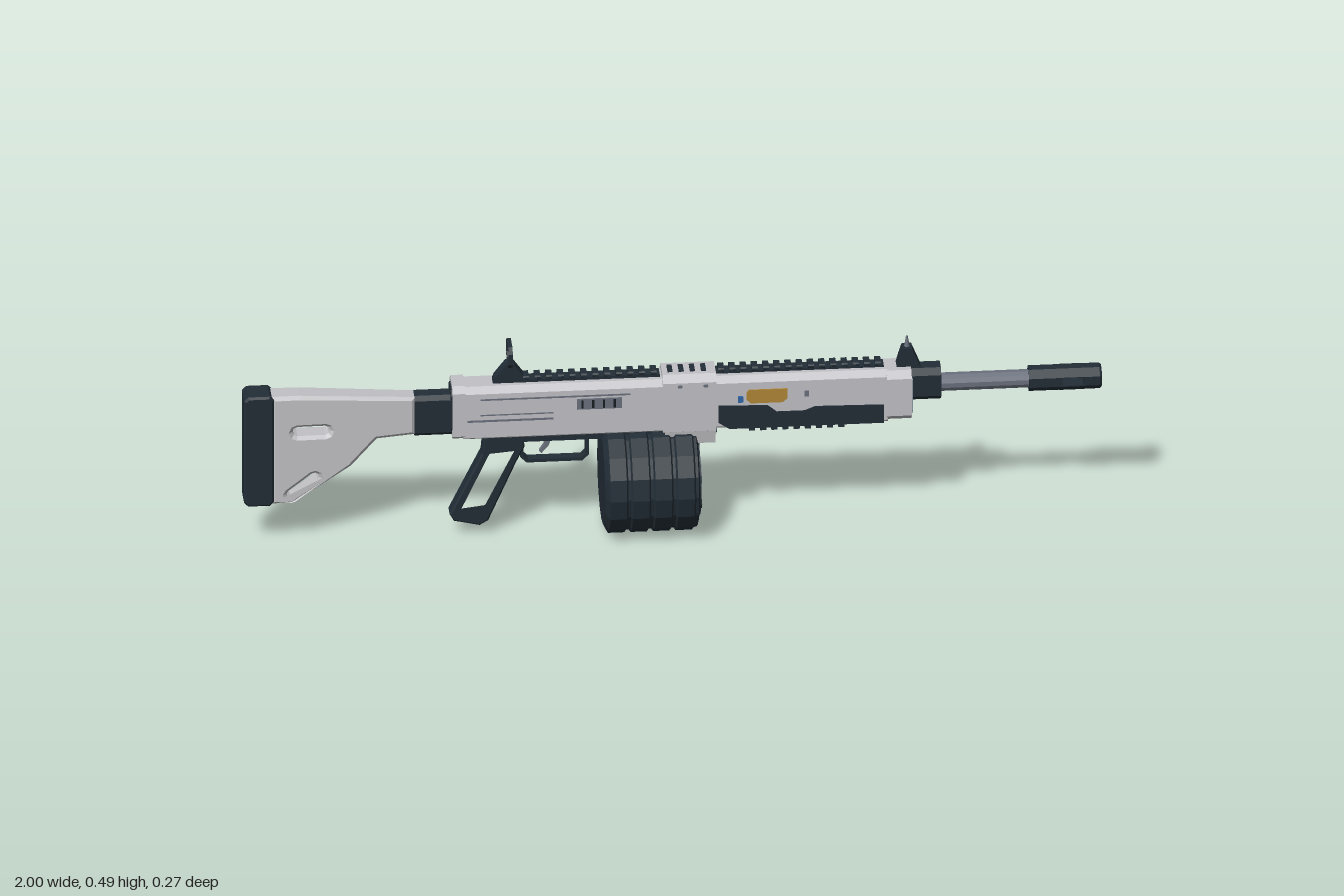
import * as THREE from 'three';

const flat = (name, color) => new THREE.MeshStandardMaterial({ name, color, flatShading: true });

export function createModel() {
  const light = flat('lightGrey', 0xc2c2c6), dark = flat('darkSlate', 0x222d36), black = flat('black', 0x151c22);
  const steel = flat('steel', 0x6a707c), gold = flat('gold', 0xb08637), blue = flat('blue', 0x2f66a8);
  const shade = flat('paleSteel', 0x8f9aa3);
  const root = new THREE.Group();
  const add = (name, geo, mat) => {
    const m = new THREE.Mesh(geo, mat);
    m.name = name;
    root.add(m);
    return m;
  };
  const box = (name, mat, x0, x1, y0, y1, z0, z1) =>
    add(name, new THREE.BoxGeometry(x1 - x0, y1 - y0, z1 - z0)
      .translate((x0 + x1) / 2, (y0 + y1) / 2, (z0 + z1) / 2), mat);
  const poly = (pts) => new THREE.Shape(pts.map(([a, b]) => new THREE.Vector2(a, b)));
  // Side profile (x, y) extruded across z
  const plate = (name, mat, pts, z0, z1, holes = [], bevel = 0) => {
    const s = poly(pts);
    s.holes = holes.map(poly);
    const geo = new THREE.ExtrudeGeometry(s, {
      depth: z1 - z0 - 2 * bevel, bevelEnabled: bevel > 0, bevelSize: bevel, bevelOffset: -bevel,
      bevelThickness: bevel, bevelSegments: 1,
    }).translate(0, 0, z0 + bevel);
    return add(name, geo, mat);
  };
  // Cross-section (z, y) extruded along x
  const along = (name, mat, pts, x0, x1, holes = []) => {
    const s = poly(pts);
    s.holes = holes.map(poly);
    const geo = new THREE.ExtrudeGeometry(s, { depth: x1 - x0, bevelEnabled: false });
    return add(name, geo.rotateY(Math.PI / 2).translate(x0, 0, 0), mat);
  };
  const chamfered = (w, y0, y1, c, cb = c) => [
    [-w + cb, y0], [w - cb, y0], [w, y0 + cb], [w, y1 - c], [w - c, y1], [-w + c, y1], [-w, y1 - c], [-w, y0 + cb]];
  const bar = (name, mat, x0, x1, y0, y1, w, c, cb) => along(name, mat, chamfered(w, y0, y1, c, cb), x0, x1);
  const tube = (name, mat, x0, x1, y, r, sides, r2 = r) => add(name,
    new THREE.CylinderGeometry(r2, r, x1 - x0, sides).rotateY(Math.PI / sides).rotateZ(-Math.PI / 2)
      .translate((x0 + x1) / 2, y, 0), mat);
  // Rounded slot outline between two points
  const slot = (x0, y0, x1, y1, r) => {
    const a = Math.atan2(y1 - y0, x1 - x0), pts = [];
    for (let i = 0; i < 10; i++) {
      const t = a - Math.PI / 2 + (i % 5) * Math.PI / 4 + (i > 4 ? Math.PI : 0);
      pts.push([(i < 5 ? x1 : x0) + r * Math.cos(t), (i < 5 ? y1 : y0) + r * Math.sin(t)]);
    }
    return pts;
  };
  const sidePlate = (name, mat, pts, side, z, t = 0.004) =>
    side > 0 ? plate(name, mat, pts, z, z + t) : plate(name, mat, pts, -z - t, -z);
  const rect = (x0, x1, y0, y1) => [[x0, y0], [x1, y0], [x1, y1], [x0, y1]];

  // Stock, narrowing towards the receiver
  const stock = plate('stock', light, [[-0.935, 0.11], [-0.885, 0.11], [-0.75, 0.2], [-0.69, 0.268], [-0.6, 0.275],
    [-0.6, 0.372], [-0.87, 0.39], [-0.935, 0.39]], -0.03, 0.03,
  [slot(-0.875, 0.296, -0.81, 0.296, 0.012), slot(-0.89, 0.132, -0.835, 0.175, 0.011)], 0.008);
  const p = stock.geometry.attributes.position;
  for (let i = 0; i < p.count; i++) p.setZ(i, p.getZ(i) * (1 - 0.25 * (p.getX(i) + 0.935) / 0.335));
  plate('buttPad', dark, [[-0.99, 0.108], [-0.94, 0.108], [-0.93, 0.118], [-0.93, 0.385], [-0.94, 0.395],
    [-0.99, 0.395], [-1, 0.385], [-1, 0.118]], -0.034, 0.034, [], 0.005);
  bar('stockJoint', dark, -0.602, -0.51, 0.27, 0.374, 0.025, 0.01);

  // Receiver
  bar('receiver', light, -0.49, -0.02, 0.266, 0.398, 0.04, 0.014, 0.004);
  bar('receiverEnd', light, -0.515, -0.485, 0.268, 0.402, 0.042, 0.014, 0.008);
  bar('receiverBackPlate', dark, -0.518, -0.512, 0.28, 0.39, 0.034, 0.012);
  for (const s of [1, -1]) {
    sidePlate('upperGroove', steel, rect(-0.45, -0.1, 0.367, 0.371), s, 0.039, 0.002);
    sidePlate('lowerGroove', steel, rect(-0.48, -0.28, 0.311, 0.316), s, 0.039, 0.002);
    sidePlate('grooveEnd', steel, rect(-0.45, -0.28, 0.327, 0.33), s, 0.039, 0.002);
  }
  sidePlate('ejectionPort', steel, rect(-0.225, -0.12, 0.335, 0.362), 1, 0.039);
  for (let i = 0; i < 4; i++) {
    sidePlate('portRib', black, rect(-0.215 + i * 0.025, -0.21 + i * 0.025, 0.338, 0.359), 1, 0.041, 0.003);
  }
  sidePlate('handleSlot', dark, slot(-0.14, 0.305, -0.05, 0.305, 0.012), -1, 0.039);
  for (const x of [-0.15, -0.23]) sidePlate('sideVent', steel, slot(x - 0.02, 0.343, x + 0.02, 0.343, 0.006), -1, 0.039);
  sidePlate('safetyMark', blue, rect(-0.385, -0.35, 0.29, 0.306), -1, 0.039);
  add('handleStem', new THREE.CylinderGeometry(0.008, 0.008, 0.03, 8).rotateX(Math.PI / 2)
    .translate(-0.045, 0.302, -0.05), steel);
  plate('handleKnob', blue, slot(-0.055, 0.302, -0.033, 0.302, 0.015), -0.07, -0.058, [], 0.002);

  // Centre block with magazine well
  bar('centreBlock', light, -0.025, 0.1, 0.265, 0.41, 0.045, 0.016, 0.002);
  along('magazineWell', light, [[-0.04, 0.233], [0.04, 0.233], [0.045, 0.268], [-0.045, 0.268]], -0.02, 0.098);
  box('wellLatch', dark, 0.09, 0.103, 0.246, 0.264, -0.015, 0.015);
  for (let i = 0; i < 4; i++) box('topSlot', dark, -0.012 + i * 0.026, 0 + i * 0.026, 0.405, 0.412, -0.017, 0.017);
  for (const s of [1, -1]) for (const x of [0.015, 0.075]) {
    sidePlate('pin', steel, slot(x - 0.002, 0.385, x + 0.002, 0.385, 0.004), s, 0.044, 0.002);
  }

  // Handguard
  bar('handguard', light, 0.1, 0.5, 0.268, 0.4, 0.04, 0.014, 0.006);
  plate('sideGrip', dark, [[0.105, 0.285], [0.13, 0.268], [0.49, 0.268], [0.49, 0.315], [0.33, 0.318], [0.305, 0.308],
    [0.24, 0.308], [0.22, 0.325], [0.105, 0.33]], 0.025, 0.043);
  for (const s of [1, -1]) {
    sidePlate('goldPanel', gold, [[0.18, 0.333], [0.255, 0.333], [0.265, 0.343], [0.265, 0.368], [0.175, 0.368],
      [0.17, 0.36], [0.17, 0.343]], s, 0.039);
    sidePlate('panelTick', steel, rect(0.305, 0.315, 0.345, 0.36), s, 0.039, 0.003);
  }
  sidePlate('blueMark', blue, rect(0.15, 0.162, 0.337, 0.352), 1, 0.039, 0.006);
  box('lowerRail', dark, 0.17, 0.41, 0.257, 0.27, -0.018, 0.018);
  for (let i = 0; i < 9; i++) box('lowerTooth', dark, 0.178 + i * 0.026, 0.192 + i * 0.026, 0.248, 0.258, -0.018, 0.018);
  bar('frontCollar', light, 0.497, 0.555, 0.272, 0.398, 0.046, 0.016, 0.014);
  bar('collarFace', shade, 0.553, 0.558, 0.28, 0.385, 0.034, 0.012);

  // Top rails
  for (const [x0, x1] of [[-0.355, -0.03], [0.1, 0.492]]) {
    box('topRail', dark, x0, x1, 0.394, 0.405, -0.015, 0.015);
    const n = Math.floor((x1 - x0) / 0.025);
    for (let i = 0; i < n; i++) {
      const x = x0 + 0.006 + i * (x1 - x0) / n;
      bar('railTooth', dark, x, x + 0.014, 0.404, 0.414, 0.017, 0.003);
    }
  }

  // Rear sight
  plate('rearSightBase', dark, [[-0.42, 0.395], [-0.34, 0.395], [-0.345, 0.41], [-0.37, 0.445], [-0.388, 0.445],
    [-0.415, 0.41]], -0.015, 0.015);
  along('rearSightRing', dark, chamfered(0.036, 0.442, 0.496, 0.013), -0.384, -0.374,
    [chamfered(0.03, 0.448, 0.49, 0.01)]);

  // Gas block, front sight, barrel and muzzle
  bar('gasBlock', dark, 0.555, 0.625, 0.312, 0.394, 0.03, 0.014);
  plate('frontSightBase', dark, [[0.52, 0.39], [0.58, 0.39], [0.568, 0.42], [0.558, 0.445], [0.536, 0.445],
    [0.528, 0.42]], -0.015, 0.015);
  add('frontSightPost', new THREE.CylinderGeometry(0.002, 0.007, 0.03, 8).translate(0.547, 0.457, 0), steel);
  tube('barrel', steel, 0.62, 0.84, 0.347, 0.022, 12);
  tube('muzzleRear', dark, 0.83, 0.908, 0.347, 0.03, 8);
  tube('muzzleFront', dark, 0.957, 0.995, 0.347, 0.03, 8);
  tube('muzzleRim', dark, 0.995, 1, 0.347, 0.03, 8, 0.026);
  tube('bore', black, 0.997, 1.0005, 0.347, 0.015, 12);
  for (const s of [1, -1]) {
    const half = [[-0.028, 0.01], [0.028, 0.01], [0.028, 0.012], [0.012, 0.028], [-0.012, 0.028], [-0.028, 0.012]];
    along('muzzleBridge', dark, half.map(([z, y]) => [z, 0.347 + s * y]), 0.9, 0.96);
  }

  // Drum magazine with stepped bands
  const prof = [[0, -0.165], [0.112, -0.165], [0.126, -0.158]];
  for (let i = 0; i < 4; i++) {
    const x = -0.158 + i * 0.0525;
    prof.push([0.133, x + 0.004], [0.133, x + 0.042], [0.127, x + 0.046], [0.127, x + 0.0525]);
  }
  prof.push([0.112, 0.056], [0, 0.056]);
  add('drum', new THREE.LatheGeometry(prof.map(([r, y]) => new THREE.Vector2(r, y)), 16)
    .rotateZ(-Math.PI / 2).translate(0, 0.135, 0), dark);
  tube('drumCap', dark, 0.054, 0.06, 0.135, 0.1, 24);
  tube('drumHub', steel, 0.055, 0.067, 0.135, 0.03, 20);
  for (let i = 0; i < 3; i++) {
    add('drumRib', new THREE.BoxGeometry(0.006, 0.052, 0.014).translate(0.06, 0.068, 0)
      .rotateX(i * Math.PI * 2 / 3).translate(0, 0.135, 0), black);
  }
  box('drumNeck', dark, -0.13, 0.04, 0.24, 0.27, -0.03, 0.03);

  // Open-frame grip, trigger and guard
  plate('grip', dark, [[-0.44, 0.268], [-0.35, 0.268], [-0.345, 0.23], [-0.365, 0.19], [-0.43, 0.04], [-0.45, 0.028],
    [-0.51, 0.042], [-0.52, 0.06], [-0.445, 0.215]], -0.02, 0.02,
  [[[-0.43, 0.22], [-0.365, 0.224], [-0.435, 0.078], [-0.497, 0.072]]], 0.004);
  box('lowerStrip', dark, -0.36, -0.16, 0.245, 0.27, -0.022, 0.022);
  plate('triggerGuard', dark, [[-0.355, 0.255], [-0.355, 0.2], [-0.34, 0.185], [-0.21, 0.185], [-0.195, 0.2],
    [-0.195, 0.255]], -0.012, 0.012, [[[-0.347, 0.247], [-0.347, 0.203], [-0.337, 0.193], [-0.213, 0.193],
    [-0.203, 0.203], [-0.203, 0.247]]]);
  plate('trigger', steel, [[-0.305, 0.25], [-0.28, 0.25], [-0.288, 0.225], [-0.305, 0.205], [-0.31, 0.21],
    [-0.298, 0.228]], -0.006, 0.006);
  return root;
}
